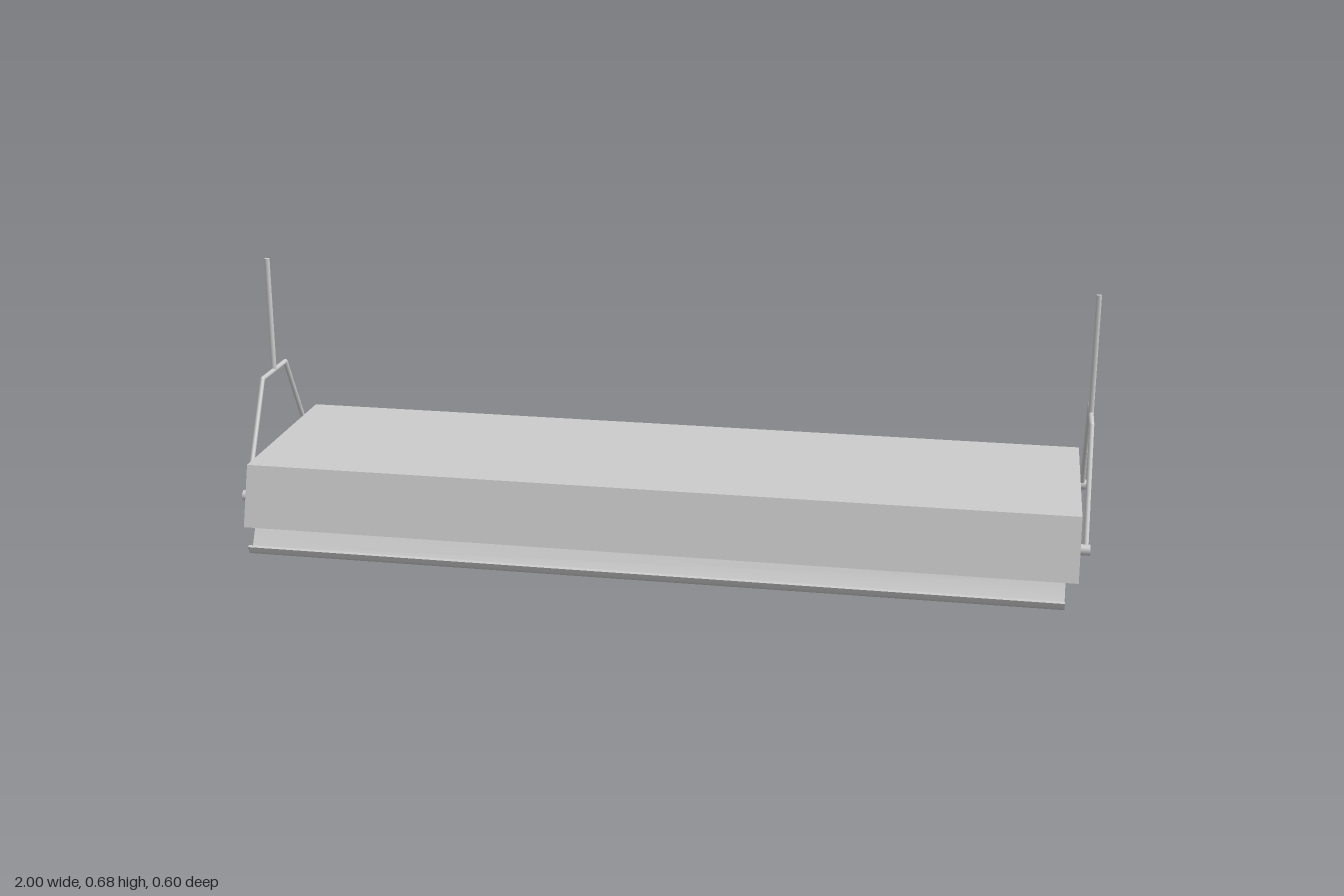
import * as THREE from 'three';
import { toCreasedNormals } from 'three/addons/utils/BufferGeometryUtils.js';

const material = new THREE.MeshStandardMaterial({ color: 0xcccccc, side: THREE.DoubleSide });

function add(group, name, geometry) {
  const mesh = new THREE.Mesh(geometry, material);
  mesh.name = name;
  group.add(mesh);
  return mesh;
}

// Extrude a (z, y) outline along x, from -half to +half
function extrudeAlongX(points, half) {
  const shape = new THREE.Shape(points.map(([z, y]) => new THREE.Vector2(z, y)));
  const g = new THREE.ExtrudeGeometry(shape, { depth: half * 2, bevelEnabled: false });
  return g.translate(0, 0, -half).rotateY(-Math.PI / 2);
}

// Round bar between two points
function rod(a, b, radius, sides = 10) {
  const dir = b.clone().sub(a);
  const g = new THREE.CylinderGeometry(radius, radius, dir.length(), sides);
  g.applyQuaternion(new THREE.Quaternion().setFromUnitVectors(
    new THREE.Vector3(0, 1, 0), dir.clone().normalize()));
  const mid = a.clone().add(b).multiplyScalar(0.5);
  return g.translate(mid.x, mid.y, mid.z);
}

// Closed outline of a sheet with constant thickness around a centre line
function sheetOutline(line, thickness) {
  const top = [], bottom = [];
  line.forEach(([z, y], i) => {
    const p = line[Math.max(i - 1, 0)], n = line[Math.min(i + 1, line.length - 1)];
    const dz = n[0] - p[0], dy = n[1] - p[1];
    const k = thickness / 2 / Math.hypot(dz, dy);
    top.push([z - dy * k, y + dz * k]);
    bottom.push([z + dy * k, y - dz * k]);
  });
  return [...bottom, ...top.reverse()];
}

// Half of one trough: offset from its middle, height
const trough = [[0, 0.031], [0.007, 0.032], [0.013, 0.038], [0.034, 0.076], [0.039, 0.082], [0.046, 0.0845]];
const lip = [[0, 0.031], [0.007, 0.032], [0.012, 0.038], [0.017, 0.05]];

function reflectorLine() {
  const line = [];
  const centres = [-0.281, -0.091, 0.099, 0.281];
  centres.forEach((c, i) => {
    const left = i === 0 ? lip : trough;
    const right = i === centres.length - 1 ? lip : trough;
    left.slice(1).reverse().forEach(([d, y]) => line.push([c - d, y]));
    right.forEach(([d, y]) => line.push([c + d, y]));
  });
  return line;
}

function createHanger(x) {
  const hanger = new THREE.Group();
  hanger.name = 'hanger';
  const at = (z, y) => new THREE.Vector3(x, y, z);
  const path = [at(0.207, 0.143), at(0.067, 0.394), at(-0.088, 0.394), at(-0.227, 0.143)];
  for (let i = 0; i < 3; i++) add(hanger, 'hangerBar', rod(path[i], path[i + 1], 0.006));
  for (const p of path.slice(1, 3)) {
    add(hanger, 'hangerBend', new THREE.SphereGeometry(0.006, 10, 8)).position.copy(p);
  }
  add(hanger, 'hangerStem', rod(at(-0.01, 0.394), at(-0.01, 0.677), 0.0065));
  // Pivot knobs on the end wall
  for (const p of [path[0], path[3]]) {
    const s = Math.sign(x);
    add(hanger, 'pivotKnob', rod(
      new THREE.Vector3(s * 0.97, p.y, p.z), new THREE.Vector3(s, p.y, p.z), 0.0125, 16));
  }
  return hanger;
}

export function createModel() {
  const model = new THREE.Group();
  model.name = 'hangingTubeLamp';

  // Tapered housing
  add(model, 'housing', extrudeAlongX(
    [[0.275, 0.088], [0.23, 0.23], [-0.25, 0.23], [-0.295, 0.088]], 0.977));

  // Corrugated reflector sheet
  const reflector = extrudeAlongX(sheetOutline(reflectorLine(), 0.007), 0.954);
  add(model, 'reflector', toCreasedNormals(reflector, 0.7)).position.x = -0.005;

  // Light tubes and the thin rods that carry them
  for (const z of [0.193, 0.007, -0.189]) {
    const tube = new THREE.CylinderGeometry(0.0415, 0.0415, 1.9, 11).rotateZ(Math.PI / 2);
    add(model, 'lightTube', tube).position.set(-0.005, 0.0415, z);
  }
  for (const x of [-0.9, 0.9]) {
    add(model, 'supportRod', rod(
      new THREE.Vector3(x, 0.056, 0.258), new THREE.Vector3(x, 0.056, -0.262), 0.003, 8));
  }

  // Hangers at both ends
  for (const x of [-0.99, 0.99]) model.add(createHanger(x));
  return model;
}
